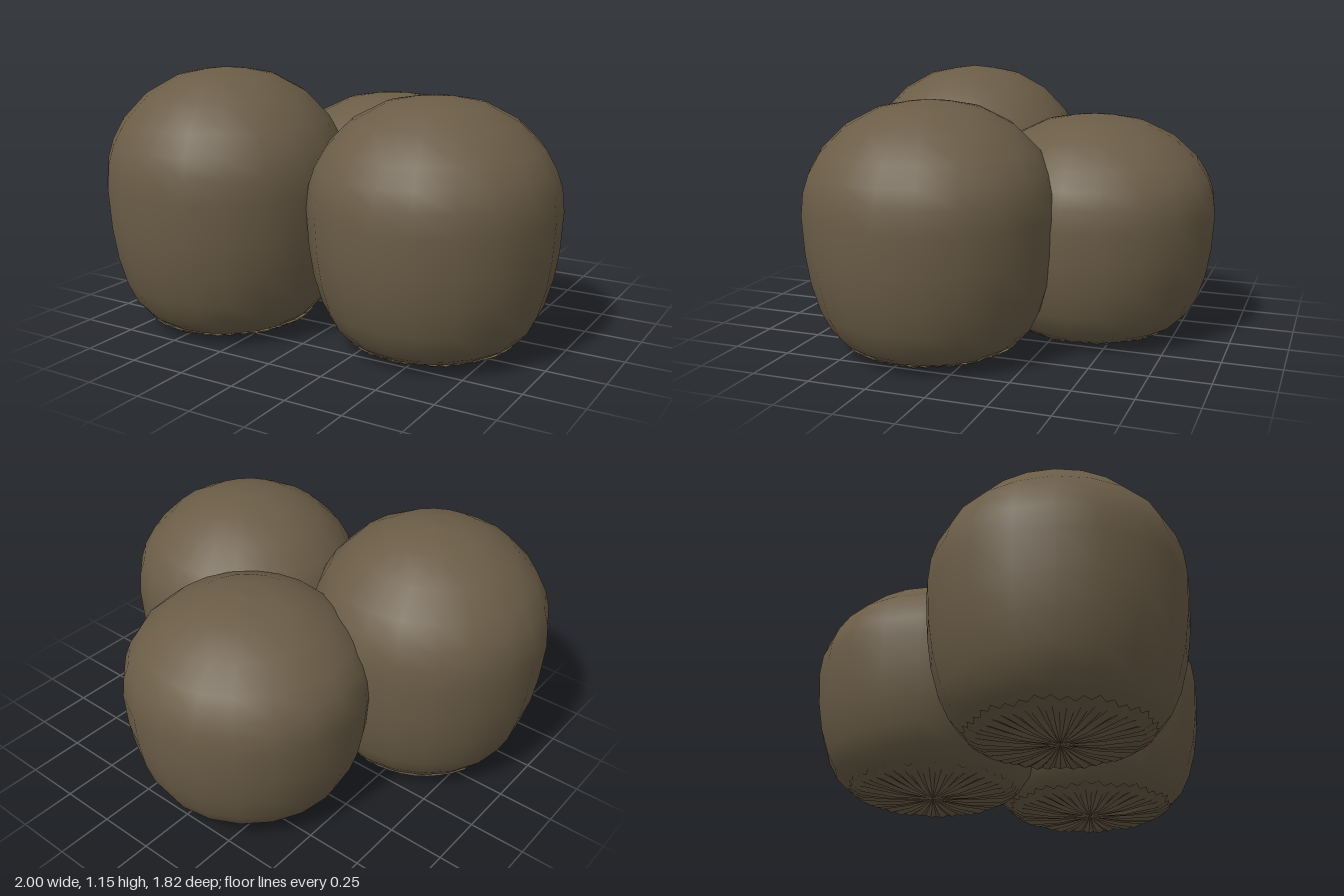
import * as THREE from 'three';

const brown = new THREE.MeshStandardMaterial({ color: 0x6b5d47, side: THREE.DoubleSide });
brown.name = 'earthBrown';

// Side profile from the base rim to the crown: [radius, height fraction]
const PROFILE = [
  [0.34, 0.04], [0.39, 0.07], [0.435, 0.115], [0.475, 0.19], [0.51, 0.3], [0.53, 0.42],
  [0.54, 0.57], [0.53, 0.66], [0.505, 0.73], [0.455, 0.81], [0.35, 0.905],
  [0.215, 0.97], [0.1, 0.99], [0, 1],
];

// Rounded skin, smooth, with a 20-sided outline
function skin(height) {
  const points = PROFILE.map(([r, y]) => new THREE.Vector2(r, y * height));
  return new THREE.Mesh(new THREE.LatheGeometry(points, 20), brown);
}

// Gathered underside: a shallow pleated fan with a ragged rim
function pleatedBase(phase) {
  const pleats = 80;
  const points = [[0, 0.012], [0.17, 0.016], [0.32, 0.03], [0.37, 0.055]].map(p => new THREE.Vector2(...p));
  const lathe = new THREE.LatheGeometry(points, pleats);
  const pos = lathe.attributes.position;
  for (let i = 0; i < pos.count; i++) {
    const r = Math.hypot(pos.getX(i), pos.getZ(i));
    const k = Math.floor(i / points.length) % pleats;
    const fold = (k % 2 ? 1 : -1) * (0.6 + 0.4 * Math.sin(k * 2.3 + phase));
    const s = 1 + 0.035 * fold * (r / 0.37);
    pos.setXYZ(i, pos.getX(i) * s, pos.getY(i) + 0.022 * fold * Math.min(r / 0.37, 0.5), pos.getZ(i) * s);
  }
  const flat = lathe.toNonIndexed();
  flat.computeVertexNormals();
  return new THREE.Mesh(flat, brown);
}

export function createModel() {
  const model = new THREE.Group();
  model.name = 'moundCluster';

  // name, x, z, height, x scale
  const mounds = [
    ['frontRightMound', -0.47, 0.37, 1.155, 0.985],
    ['frontLeftMound', 0.468, 0.2, 1.075, 0.985],
    ['backMound', -0.04, -0.37, 0.985, 1],
  ];
  mounds.forEach(([name, x, z, height, sx], i) => {
    const mound = new THREE.Group();
    mound.name = name;
    const body = skin(height);
    body.name = 'roundedSkin';
    const base = pleatedBase(i * 1.7);
    base.name = 'pleatedBase';
    mound.add(body, base);
    mound.position.set(x, 0, z);
    mound.scale.x = sx;
    model.add(mound);
  });
  return model;
}
